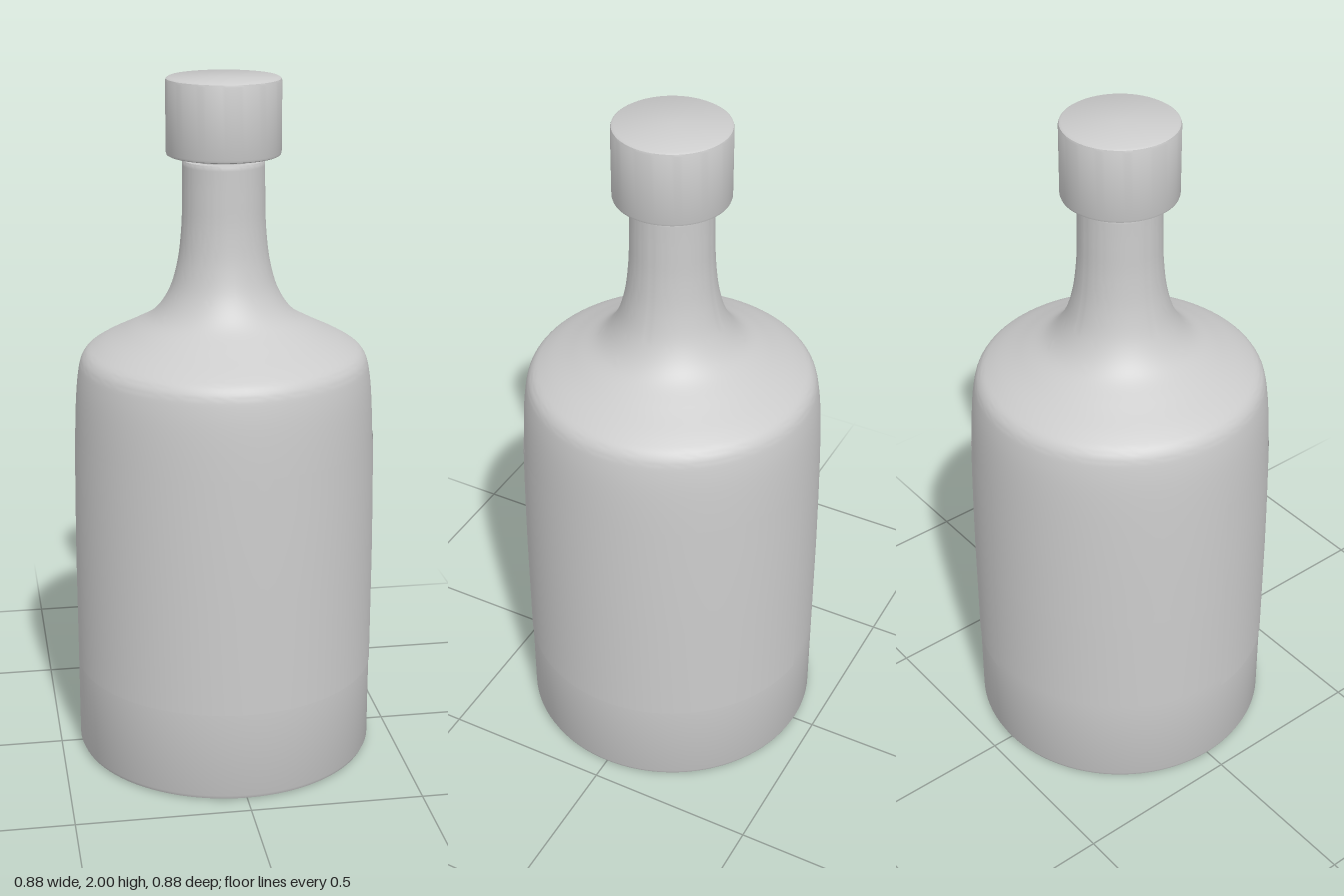
import * as THREE from 'three';
import { toCreasedNormals } from 'three/addons/utils/BufferGeometryUtils.js';

const SEGMENTS = 96;
const toPoints = (list) => list.map(([x, y]) => new THREE.Vector2(x, y));
const smooth = (list, n) => new THREE.SplineCurve(toPoints(list)).getPoints(n)
  .map((p) => new THREE.Vector2(Math.max(p.x, 0), p.y));

export function createModel() {
  const model = new THREE.Group();
  const material = new THREE.MeshStandardMaterial({ color: 0xcccccc });

  function addLathe(name, points, start = 0, length = Math.PI * 2, mat = material) {
    const lathe = new THREE.LatheGeometry(points, SEGMENTS, start, length);
    const mesh = new THREE.Mesh(toCreasedNormals(lathe, 0.6), mat);
    mesh.name = name;
    model.add(mesh);
  }

  // Bottle: dimpled base, straight wall, sloping shoulder, flared neck
  const base = smooth([[0, 0.1], [0.05, 0.085], [0.12, 0.04], [0.22, 0.012], [0.34, 0.003], [0.425, 0]], 24);
  const wall = toPoints([[0.435, 0.004], [0.44, 0.015], [0.44, 0.3]]);
  const shoulder = smooth([
    [0.44, 0.6], [0.437, 0.85], [0.431, 1.05], [0.421, 1.16], [0.405, 1.212], [0.365, 1.243],
    [0.28, 1.286], [0.205, 1.33], [0.158, 1.395], [0.132, 1.48], [0.12, 1.58], [0.117, 1.68], [0.116, 1.765],
  ], 72);
  const lip = toPoints([[0.114, 1.77], [0.085, 1.77]]);
  addLathe('bottle', [...base, ...wall, ...shoulder, ...lip]);

  // Thin label wrapped around the wall, open at the back right
  const labelMaterial = material.clone();
  labelMaterial.side = THREE.DoubleSide;
  const label = toPoints([[0.442, 0.27], [0.442, 0.6], [0.4405, 0.75], [0.4385, 0.87], [0.436, 0.97]]);
  addLathe('label', label, THREE.MathUtils.degToRad(275), THREE.MathUtils.degToRad(260), labelMaterial);

  // Stopper: stem inside the neck and a wide cap
  addLathe('stopperStem', toPoints([[0, 1.6], [0.09, 1.6], [0.09, 1.79]]));
  addLathe('stopperCap', toPoints([
    [0, 1.784], [0.154, 1.784], [0.16, 1.787], [0.162, 1.793],
    [0.162, 1.99], [0.16, 1.996], [0.154, 2], [0, 2],
  ]));

  return model;
}
